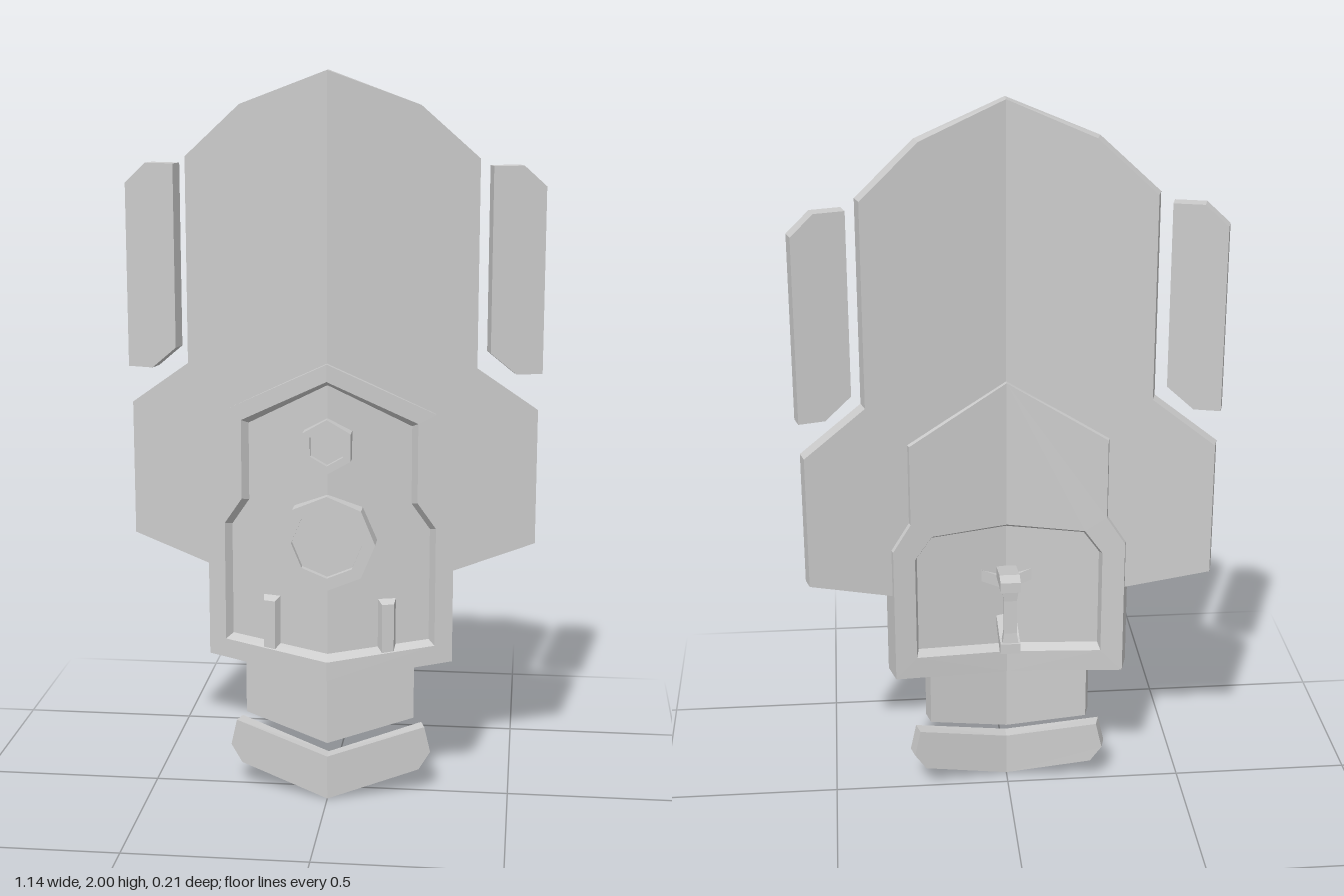
import * as THREE from 'three';
import { mergeGeometries } from 'three/addons/utils/BufferGeometryUtils.js';

const SLOPE = 0.275; // how far the shield sweeps back per unit of width
const material = new THREE.MeshStandardMaterial({ color: 0xcccccc, flatShading: true });

// Right-half or left-half copy of a triangle list, without faces on the centre plane.
function halfGeometry(triangles, side) {
  const out = [];
  for (const tri of triangles) {
    if (tri.every((p) => Math.abs(p[0]) < 1e-5)) continue;
    const corners = side > 0 ? tri : [tri[0], tri[2], tri[1]];
    for (const p of corners) out.push(p[0] * side, p[1], p[2]);
  }
  const g = new THREE.BufferGeometry();
  g.setAttribute('position', new THREE.Float32BufferAttribute(out, 3));
  g.computeVertexNormals();
  return g;
}

// Mirrored plate from a half outline (x >= 0), swept back from the centre crease.
// backPts, if given, is the outline at the rear, for sloping walls.
function plate(name, pts, zBack, zFront, backPts = pts) {
  const shape = new THREE.Shape(pts.map((p) => new THREE.Vector2(p[0], p[1])));
  const geo = new THREE.ExtrudeGeometry(shape, { depth: 1, bevelEnabled: false });
  const pos = geo.attributes.position;
  const triangles = [];
  for (let i = 0; i < pos.count; i += 3) {
    const tri = [];
    for (let j = i; j < i + 3; j++) {
      let x = pos.getX(j), y = pos.getY(j);
      const front = pos.getZ(j) > 0.5;
      if (!front) {
        const k = pts.findIndex((p) => Math.hypot(p[0] - x, p[1] - y) < 1e-4);
        [x, y] = backPts[k];
      }
      const z = front ? zFront : zBack;
      // side walls stay square to the swept face
      const shift = SLOPE * (z - 0.09) * Math.min(1, x / 0.1);
      tri.push([x + shift, y, z - SLOPE * x]);
    }
    triangles.push(tri);
  }
  const mesh = new THREE.Mesh(
    mergeGeometries([halfGeometry(triangles, 1), halfGeometry(triangles, -1)]), material);
  mesh.name = name;
  return mesh;
}

// Polygonal raised ring with a flat floor inside.
function boss(name, sides, y, outer, inner) {
  const polygon = (r) => Array.from({ length: sides }, (_, i) => {
    const a = Math.PI / 2 + (i / sides) * Math.PI * 2;
    return new THREE.Vector2(Math.cos(a) * r, Math.sin(a) * r);
  });
  const group = new THREE.Group();
  group.name = name;
  const ring = new THREE.Shape(polygon(outer));
  ring.holes.push(new THREE.Path(polygon(inner).reverse()));
  const ringMesh = new THREE.Mesh(
    new THREE.ExtrudeGeometry(ring, { depth: 0.065, bevelEnabled: false }), material);
  ringMesh.name = name + 'Ring';
  ringMesh.position.set(0, y, 0.04);
  const floor = new THREE.Mesh(new THREE.ShapeGeometry(new THREE.Shape(polygon(inner))), material);
  floor.name = name + 'Floor';
  floor.position.set(0, y, 0.086);
  group.add(ringMesh, floor);
  return group;
}

// Rear handle: a waisted grip held by two slanted arms.
function handle() {
  const group = new THREE.Group();
  group.name = 'handle';
  const grip = new THREE.BoxGeometry(0.05, 0.2, 0.032, 1, 4, 1);
  const p = grip.attributes.position;
  for (let i = 0; i < p.count; i++) {
    const waist = Math.abs(p.getY(i)) < 0.06 ? 0.72 : 1;
    p.setX(i, p.getX(i) * waist);
    p.setZ(i, p.getZ(i) * waist);
  }
  const gripMesh = new THREE.Mesh(grip, material);
  gripMesh.name = 'grip';
  gripMesh.position.set(0, 0.585, -0.07);
  group.add(gripMesh);
  for (const s of [1, -1]) {
    // arm profile in depth and height, leaning outward toward the grip
    const profile = [[0.065, 0.06], [0.065, 0.09], [-0.055, 0.118], [-0.09, 0.11], [-0.09, 0.08], [-0.05, 0.08]];
    const pts = profile.map(([z, y]) => new THREE.Vector2(-z, y * s));
    const arm = new THREE.ExtrudeGeometry(new THREE.Shape(pts), { depth: 0.056, bevelEnabled: false });
    arm.translate(0, 0, -0.028);
    arm.rotateY(Math.PI / 2);
    const armMesh = new THREE.Mesh(arm, material);
    armMesh.name = s > 0 ? 'upperHandleArm' : 'lowerHandleArm';
    armMesh.position.set(0, 0.585, 0);
    group.add(armMesh);
  }
  return group;
}

export function createModel() {
  const model = new THREE.Group();
  model.name = 'shield';

  // Main plate, ending under the rim of the core
  model.add(plate('mainPlate', [
    [0, 1.21], [0.26, 1.075], [0.26, 0.86], [0.31, 0.78], [0.31, 0.638], [0.56, 0.715],
    [0.56, 1.09], [0.395, 1.21], [0.395, 1.77], [0.24, 1.91], [0, 2],
  ], 0.05, 0.09));

  // Detached side fins
  model.add(plate('sideFins', [
    [0.43, 1.25], [0.5, 1.19], [0.57, 1.19], [0.57, 1.695], [0.51, 1.75], [0.43, 1.75],
  ], 0.05, 0.09));

  // Core: slab with a raised rim at the front and another at the back
  const core = [[0, 0.35], [0.335, 0.39], [0.335, 0.785], [0.285, 0.86], [0.285, 1.09], [0, 1.235]];
  const frontTop = [[0, 1.188], [0.237, 1.066], [0.237, 0.846], [0.287, 0.772], [0.287, 0.438], [0, 0.405]];
  const frontFloor = [[0, 1.175], [0.226, 1.055], [0.226, 0.84], [0.276, 0.766], [0.276, 0.45], [0, 0.422]];
  model.add(plate('coreSlab', core, 0.06, 0.08));
  model.add(plate('frontRim', [...core, ...frontTop], 0.08, 0.105, [...core, ...frontFloor]));

  // Back rim, solid above the recess
  const backFloor = [[0, 0.8], [0.22, 0.8], [0.262, 0.745], [0.262, 0.46], [0, 0.43]];
  const backTop = [[0, 0.815], [0.227, 0.815], [0.275, 0.752], [0.275, 0.447], [0, 0.415]];
  model.add(plate('backRim', [...core, ...backFloor], 0.035, 0.06, [...core, ...backTop]));

  // Short ribs rising from the lower rim
  model.add(plate('ribs',
    [[0.145, 0.42], [0.177, 0.42], [0.177, 0.562], [0.145, 0.562]], 0.078, 0.102,
    [[0.137, 0.42], [0.187, 0.42], [0.187, 0.574], [0.137, 0.574]]));

  // Front bosses
  model.add(boss('upperBoss', 6, 1.01, 0.075, 0.052));
  model.add(boss('lowerBoss', 8, 0.742, 0.132, 0.097));

  // Lower tab and the detached chevron below it
  model.add(plate('lowerTab', [[0, 0.165], [0.235, 0.225], [0.235, 0.42], [0, 0.4]], 0.045, 0.09));
  model.add(plate('lowerChevron',
    [[0, 0], [0.25, 0.07], [0.282, 0.12], [0.265, 0.195], [0, 0.125]], 0.05, 0.09));

  model.add(handle());
  return model;
}
